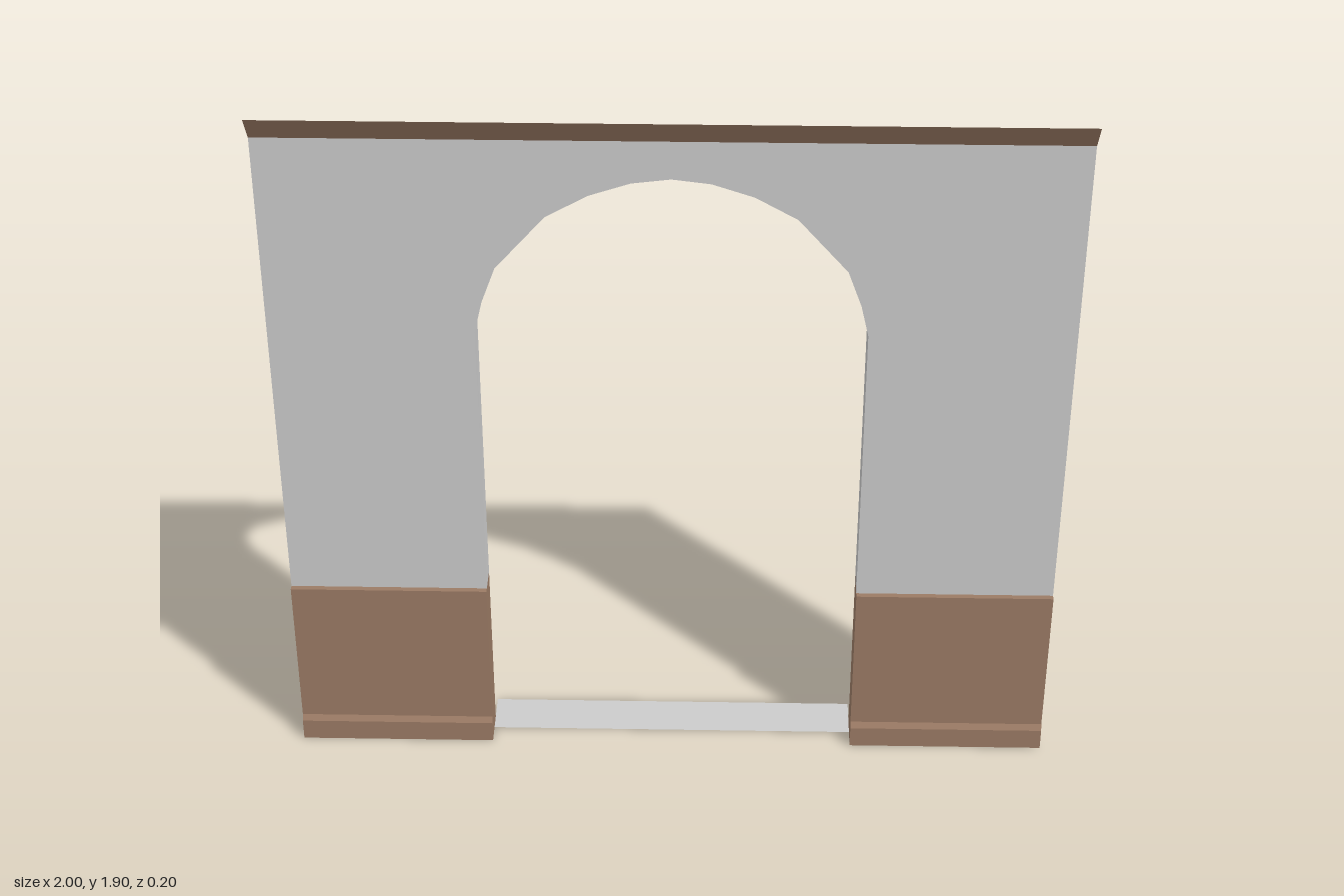
import * as THREE from 'three';

const HALF = 0.485;      // half width of the opening
const FRONT = 0.05;      // wall face
const BACK = -0.025;     // rear edge of the reveal
const DADO = 0.5;        // height of the wooden panelling

const plaster = new THREE.MeshStandardMaterial({ color: 0xcccccc, side: THREE.DoubleSide });
plaster.name = 'plaster';
const wood = new THREE.MeshStandardMaterial({ color: 0x9b7b65, side: THREE.DoubleSide });
wood.name = 'wood';

// Right half of the arch, from springing to crown, as [x, y]
const archHalf = [[HALF, 1.294], [0.465, 1.38], [0.43, 1.476], [0.305, 1.62], [0.2, 1.68], [0.096, 1.715], [0, 1.727]];
const opening = [
  [HALF, DADO], ...archHalf,
  ...archHalf.slice(0, -1).reverse().map(([x, y]) => [-x, y]), [-HALF, DADO],
];

// Panelling profile as [z, y], floor to top ledge
const dadoProfile = [[0.075, 0], [0.075, 0.06], [0.065, 0.075], [0.065, DADO], [FRONT, DADO]];

// Open sheet joining two matching rows of points
function sheet(rowA, rowB, smooth) {
  const index = [];
  for (let i = 0; i < rowA.length - 1; i++) {
    const a = i, b = i + 1, c = i + rowA.length, d = c + 1;
    index.push(a, c, b, b, c, d);
  }
  let g = new THREE.BufferGeometry();
  g.setAttribute('position', new THREE.Float32BufferAttribute([...rowA, ...rowB].flat(), 3));
  g.setIndex(index);
  if (!smooth) g = g.toNonIndexed();
  g.computeVertexNormals();
  return g;
}

// Moulding: a [z, y] profile run along x
const moulding = (profile, x0, x1) =>
  sheet(profile.map(([z, y]) => [x0, y, z]), profile.map(([z, y]) => [x1, y, z]), false);

const toShape = (pts) => new THREE.Shape(pts.map(([x, y]) => new THREE.Vector2(x, y)));

export function createModel() {
  const model = new THREE.Group();
  model.name = 'archwayWall';
  const add = (name, geometry, material) => {
    const mesh = new THREE.Mesh(geometry, material);
    mesh.name = name;
    model.add(mesh);
    return mesh;
  };

  // Plaster wall around the opening
  const outline = [[1, DADO], [1, 1.828], [-1, 1.828], [-1, DADO], ...opening.slice().reverse()];
  add('wall', new THREE.ShapeGeometry(toShape(outline)), plaster).position.z = FRONT;

  // Inner reveal of the arch
  add('archReveal', sheet(
    opening.map(([x, y]) => [x, y, FRONT]),
    opening.map(([x, y]) => [x, y, BACK]), true), plaster);

  // Sloping cornice along the top
  add('cornice', moulding([[FRONT, 1.828], [0.1, 1.9]], -1, 1), wood);

  // Wooden panelling with skirting, and its return into the opening
  for (const [side, s] of [['left', 1], ['right', -1]]) {
    const x0 = s > 0 ? HALF : -1;
    add(side + 'Panelling', moulding(dadoProfile, x0, x0 + 1 - HALF), wood);
    const end = new THREE.ShapeGeometry(toShape([[BACK, 0], ...dadoProfile, [BACK, DADO]]));
    end.rotateY(-Math.PI / 2);
    add(side + 'PanellingReturn', end, wood).position.x = s * HALF;
  }

  // Threshold strip on the floor
  const floor = new THREE.PlaneGeometry(HALF * 2, 0.12);
  floor.rotateX(-Math.PI / 2);
  add('threshold', floor, plaster).position.z = -0.04;

  return model;
}
